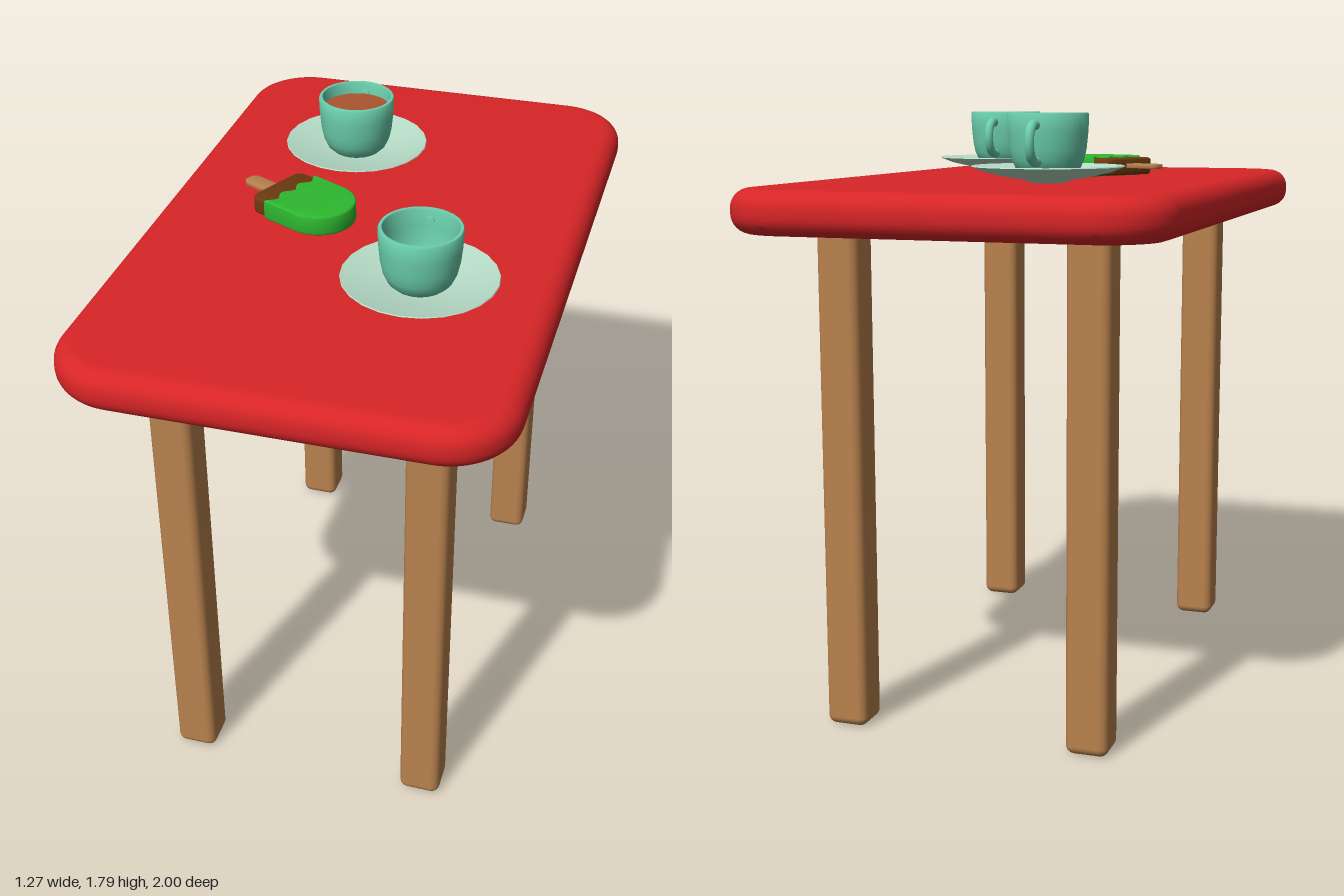
import * as THREE from 'three';
import { toCreasedNormals } from 'three/addons/utils/BufferGeometryUtils.js';
import { RoundedBoxGeometry } from 'three/addons/geometries/RoundedBoxGeometry.js';

const mat = (name, color, side = THREE.FrontSide) => {
  const m = new THREE.MeshStandardMaterial({ color, side });
  m.name = name;
  return m;
};

export function createModel() {
  const red = mat('table red', 0xd82527);
  const wood = mat('wood', 0xb9824e);
  const teal = mat('cup teal', 0x6bcfae);
  const pale = mat('saucer pale green', 0xb6dcc7);
  const tea = mat('tea brown', 0xab552e);
  const green = mat('ice green', 0x2eb930);
  const choc = mat('chocolate', 0x6e3a10);

  const model = new THREE.Group();
  model.name = 'tableWithCups';

  const add = (parent, name, geometry, material) => {
    const mesh = new THREE.Mesh(geometry, material);
    mesh.name = name;
    parent.add(mesh);
    return mesh;
  };

  // Horizontal slab with rounded rims; shape x, y become x, z
  const slab = (shape, y0, y1, bevel, steps = 4) => {
    const g = new THREE.ExtrudeGeometry(shape, {
      depth: y1 - y0 - 2 * bevel, bevelThickness: bevel, bevelSize: bevel,
      bevelOffset: -bevel, bevelSegments: steps, curveSegments: 12,
    });
    g.rotateX(Math.PI / 2).translate(0, y1 - bevel, 0);
    return toCreasedNormals(g, 0.6);
  };

  const roundedRect = (x0, y0, x1, y1, r) => {
    const s = new THREE.Shape();
    s.moveTo(x0 + r, y0);
    s.lineTo(x1 - r, y0);
    s.absarc(x1 - r, y0 + r, r, -Math.PI / 2, 0);
    s.lineTo(x1, y1 - r);
    s.absarc(x1 - r, y1 - r, r, 0, Math.PI / 2);
    s.lineTo(x0 + r, y1);
    s.absarc(x0 + r, y1 - r, r, Math.PI / 2, Math.PI);
    s.lineTo(x0, y0 + r);
    s.absarc(x0 + r, y0 + r, r, Math.PI, Math.PI * 1.5);
    return s;
  };

  // Table
  add(model, 'tableTop', slab(roundedRect(-0.635, -1, 0.635, 1, 0.2), 1.465, 1.59, 0.055, 8), red);
  for (const x of [-0.37, 0.37]) {
    for (const z of [-0.68, 0.68]) {
      add(model, 'leg', new RoundedBoxGeometry(0.126, 1.5, 0.126, 3, 0.026), wood)
        .position.set(x, 0.75, z);
    }
  }

  // Cup and saucer, heights measured from the table top
  const lathe = (points, sides) => toCreasedNormals(
    new THREE.LatheGeometry(points.map(([r, y]) => new THREE.Vector2(r, y)), sides), 0.7);
  const saucerGeo = lathe([[0, 0.004], [0.055, 0.004], [0.065, 0.012], [0.13, 0.022], [0.185, 0.035],
    [0.223, 0.05], [0.221, 0.053], [0.18, 0.042], [0.12, 0.03], [0.07, 0.02], [0, 0.018]], 24);
  const cupGeo = lathe([[0, 0.018], [0.055, 0.018], [0.075, 0.026], [0.092, 0.042], [0.104, 0.068],
    [0.111, 0.1], [0.116, 0.15], [0.118, 0.198], [0.115, 0.203], [0.107, 0.203], [0.105, 0.198],
    [0.104, 0.15], [0.099, 0.1], [0.09, 0.065], [0.07, 0.042], [0.04, 0.032], [0, 0.03]], 40);
  const handleGeo = new THREE.TubeGeometry(new THREE.CatmullRomCurve3(
    [[0.165, -0.1], [0.17, -0.135], [0.152, -0.162], [0.118, -0.17], [0.085, -0.158],
      [0.068, -0.132], [0.066, -0.092]].map(([y, z]) => new THREE.Vector3(0, y, z))), 28, 0.014, 10);

  const cupSet = (x, z, full) => {
    const set = new THREE.Group();
    set.name = full ? 'fullCupSet' : 'emptyCupSet';
    set.position.set(x, 1.59, z);
    add(set, 'saucer', saucerGeo, pale);
    add(set, 'cup', cupGeo, teal);
    add(set, 'cupHandle', handleGeo, teal);
    if (full) {
      add(set, 'tea', new THREE.CircleGeometry(0.106, 40).rotateX(-Math.PI / 2), tea)
        .position.y = 0.165;
    }
    model.add(set);
  };
  cupSet(-0.15, -0.405, true);
  cupSet(0.25, 0.363, false);

  // Ice lolly lying flat, its tip along local +x
  const lolly = new THREE.Group();
  lolly.name = 'iceLolly';
  lolly.position.set(-0.3, 1.59, -0.03);
  lolly.rotation.y = -0.44;
  model.add(lolly);

  add(lolly, 'stick', slab(roundedRect(-0.11, -0.027, 0.06, 0.027, 0.022), 0.034, 0.048, 0.003, 2), wood);
  add(lolly, 'chocolateCore', slab(roundedRect(0, -0.107, 0.2, 0.107, 0.03), 0.013, 0.064, 0.008), choc);

  // Green coating with a wavy edge and a round tip
  const coat = new THREE.Shape();
  coat.moveTo(0.06, -0.11);
  coat.lineTo(0.18, -0.11);
  coat.absarc(0.18, 0, 0.11, -Math.PI / 2, Math.PI / 2);
  coat.lineTo(0.06, 0.11);
  for (let i = 1; i < 24; i++) {
    const t = i / 24;
    coat.lineTo(0.07 - 0.01 * Math.cos(t * Math.PI * 6), 0.11 - 0.22 * t);
  }
  add(lolly, 'greenCoating', slab(coat, 0.008, 0.07, 0.006, 3), green);

  return model;
}
